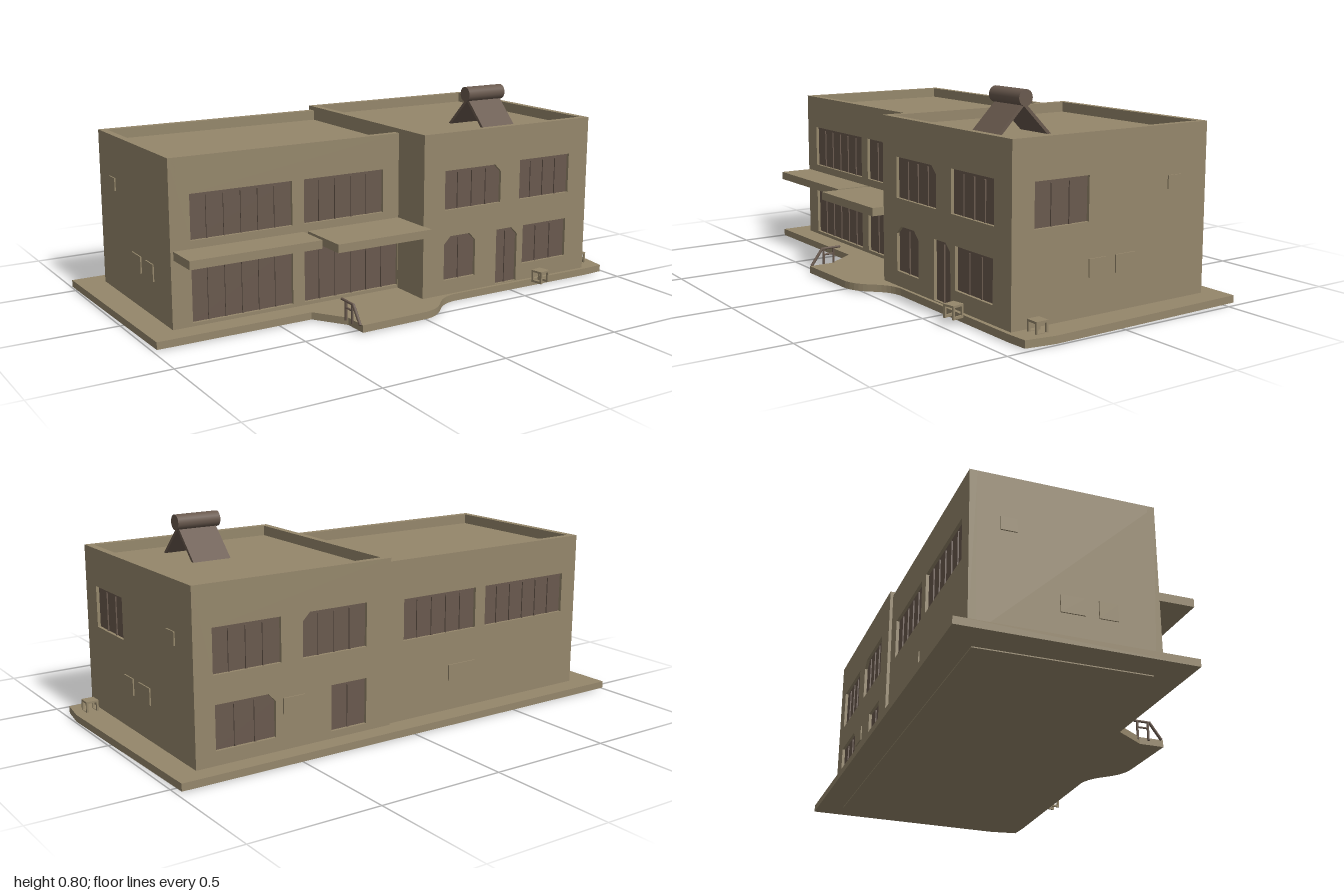
import * as THREE from 'three';

const plaster = new THREE.MeshStandardMaterial({ color: 0x95876b });
plaster.name = 'sand plaster';
const brown = new THREE.MeshStandardMaterial({ color: 0x69594e });
brown.name = 'dark brown';

const T = 0.028; // wall thickness, also the parapet width
const RECESS = 0.012; // window depth behind the wall face

function add(parent, name, geo, mat, x = 0, y = 0, z = 0) {
  const m = new THREE.Mesh(geo, mat);
  m.name = name;
  m.position.set(x, y, z);
  parent.add(m);
  return m;
}

// box given by its minimum and maximum corners
function span(parent, name, mat, x0, x1, y0, y1, z0, z1) {
  return add(parent, name, new THREE.BoxGeometry(x1 - x0, y1 - y0, z1 - z0), mat,
    (x0 + x1) / 2, (y0 + y1) / 2, (z0 + z1) / 2);
}

// round bar between two points
function bar(parent, name, mat, a, b, r) {
  const p = new THREE.Vector3(...a), q = new THREE.Vector3(...b);
  const m = add(parent, name, new THREE.CylinderGeometry(r, r, p.distanceTo(q), 8), mat);
  m.position.copy(p).add(q).multiplyScalar(0.5);
  m.quaternion.setFromUnitVectors(new THREE.Vector3(0, 1, 0), q.sub(p).normalize());
}

// rectangle with optional cut upper corners
function outline([x0, x1, y0, y1, cutL = 0, cutR = 0]) {
  const pts = [[x0, y0], [x1, y0], [x1, y1 - cutR]];
  if (cutR) pts.push([x1 - cutR, y1]);
  if (cutL) pts.push([x0 + cutL, y1]);
  pts.push([x0, y1 - cutL]);
  return pts.map(p => new THREE.Vector2(...p));
}

const extrude = (shape, depth) => new THREE.ExtrudeGeometry(shape, { depth, bevelEnabled: false });

// wall whose outer face lies at local z = 0, with recessed windows and thin vents
function wall(parent, name, u0, u1, top, windows, vents, rotY, x, z) {
  const g = new THREE.Group();
  g.name = name;
  g.rotation.y = rotY;
  g.position.set(x, 0, z);
  parent.add(g);
  const shape = new THREE.Shape(outline([u0, u1, 0.02, top]));
  for (const w of windows) shape.holes.push(new THREE.Path(outline(w)));
  add(g, name + 'Panel', extrude(shape, T), plaster, 0, 0, -T);
  for (const w of windows) {
    const [a, b, c, d] = w;
    add(g, 'windowPane', extrude(new THREE.Shape(outline(w)), T - RECESS), brown, 0, 0, -T);
    const n = Math.max(1, Math.round((b - a) / 0.07));
    for (let i = 1; i < n; i++) {
      const u = a + (b - a) * i / n;
      span(g, 'mullion', brown, u - 0.003, u + 0.003, c, d - 0.012, -RECESS - 0.002, -RECESS + 0.005);
    }
  }
  for (const [a, b, c, d] of vents) span(g, 'ventPlate', plaster, a, b, c, d, -0.004, 0.005);
}

// small open stand
function stand(parent, x, z, rotY) {
  const g = new THREE.Group();
  g.name = 'stand';
  g.position.set(x, 0.03, z);
  g.rotation.y = rotY;
  parent.add(g);
  const s = 0.025;
  span(g, 'standTop', plaster, -s, s, 0.037, 0.045, -s, s);
  for (const sx of [-1, 1]) {
    span(g, 'standFoot', plaster, sx * 0.021 - 0.004, sx * 0.021 + 0.004, -0.005, 0.004, -s, s);
    for (const sz of [-1, 1])
      add(g, 'standLeg', new THREE.BoxGeometry(0.008, 0.042, 0.008), plaster, sx * 0.021, 0.018, sz * 0.021);
  }
}

export function createModel() {
  const root = new THREE.Group();
  root.name = 'twoStoreyBuilding';

  // paved base with a curved entrance apron, drawn in x and -z
  const base = new THREE.Shape();
  base.moveTo(-0.998, 0.545);
  base.lineTo(-0.985, -0.315);
  base.lineTo(-0.37, -0.315);
  base.lineTo(-0.285, -0.44);
  base.lineTo(-0.285, -0.54);
  base.lineTo(0, -0.535);
  base.bezierCurveTo(0.11, -0.52, 0.1, -0.43, 0.21, -0.415);
  base.lineTo(0.9, -0.42);
  base.lineTo(0.98, -0.415);
  base.lineTo(0.998, -0.3);
  base.lineTo(0.98, 0.545);
  base.closePath();
  const slab = add(root, 'base', extrude(base, 0.028), plaster, 0, 0.004, 0);
  slab.rotation.x = -Math.PI / 2;
  span(root, 'basePlinth', plaster, -0.87, 0.87, 0, 0.01, -0.44, 0.2);

  // cores that carry the sunken roofs
  span(root, 'leftWingCore', plaster, -0.888 + T, 0.08, 0.02, 0.615, -0.46 + T, 0.23 - T);
  span(root, 'rightWingCore', plaster, 0.072 + T, 0.888 - T, 0.02, 0.632, -0.472 + T, 0.403 - T);

  // left wing
  wall(root, 'leftWingFront', -0.888, 0.085, 0.655, [
    [-0.81, -0.4, 0.35, 0.52], [-0.35, 0, 0.35, 0.52],
    [-0.81, -0.4, 0.045, 0.27], [-0.35, 0.07, 0.045, 0.265],
  ], [], 0, 0, 0.23);
  wall(root, 'leftWingBack', -0.085, 0.888, 0.655, [
    [0, 0.35, 0.345, 0.505], [0.4, 0.815, 0.345, 0.505],
  ], [[0.22, 0.35, 0.15, 0.215]], Math.PI, 0, -0.46);
  wall(root, 'leftWingSide', -0.46, 0.23, 0.655, [], [
    [-0.35, -0.29, 0.44, 0.49], [-0.14, -0.05, 0.17, 0.235], [0, 0.07, 0.17, 0.235],
  ], -Math.PI / 2, -0.888, 0);

  // right wing
  wall(root, 'rightWingFront', 0.072, 0.888, 0.672, [
    [0.17, 0.44, 0.37, 0.525, 0, 0.03], [0.535, 0.79, 0.37, 0.53],
    [0.17, 0.32, 0.09, 0.265, 0.03, 0.03], [0.425, 0.53, 0.035, 0.26, 0, 0.03],
    [0.56, 0.785, 0.1, 0.26],
  ], [], 0, 0, 0.403);
  wall(root, 'rightWingBack', -0.888, -0.072, 0.672, [
    [-0.815, -0.545, 0.355, 0.52], [-0.455, -0.18, 0.355, 0.52, 0.03, 0],
    [-0.81, -0.57, 0.085, 0.25, 0, 0.03], [-0.335, -0.18, 0.06, 0.235],
  ], [[-0.54, -0.45, 0.165, 0.225]], Math.PI, 0, -0.472);
  wall(root, 'rightWingOuterSide', -0.403, 0.472, 0.672, [
    [-0.31, -0.077, 0.365, 0.525],
  ], [
    [-0.075, 0, 0.17, 0.235], [0.045, 0.138, 0.17, 0.235], [0.285, 0.345, 0.44, 0.49],
  ], Math.PI / 2, 0.888, 0);
  wall(root, 'rightWingInnerSide', -0.472, 0.403, 0.672, [], [], -Math.PI / 2, 0.072, 0);

  // canopies over the ground floor
  span(root, 'longCanopy', plaster, -0.877, -0.353, 0.288, 0.32, 0.22, 0.37);
  span(root, 'entranceCanopy', plaster, -0.335, 0.075, 0.288, 0.32, 0.22, 0.453);

  // roof unit: two leaning panels capped by a cylinder
  const unit = new THREE.Group();
  unit.name = 'roofUnit';
  unit.position.set(0.537, 0.762, 0.15);
  root.add(unit);
  for (const s of [-1, 1]) {
    const panel = add(unit, 'roofUnitPanel', new THREE.BoxGeometry(0.158, 0.175, 0.012), brown,
      0, -0.074, s * 0.058);
    panel.rotation.x = -s * Math.PI / 4;
  }
  const cap = add(unit, 'roofUnitCap', new THREE.CylinderGeometry(0.03, 0.03, 0.18, 24), brown, 0, 0.006, 0);
  cap.rotation.z = Math.PI / 2;

  // entrance railing
  const rx = -0.29;
  bar(root, 'railingSlope', brown, [rx, 0.03, 0.53], [rx, 0.097, 0.48], 0.006);
  bar(root, 'railingTop', brown, [rx, 0.095, 0.485], [rx, 0.095, 0.4], 0.005);
  for (const z of [0.475, 0.43]) bar(root, 'railingPost', brown, [rx, 0.02, z], [rx, 0.095, z], 0.005);
  bar(root, 'railingRung', brown, [rx, 0.07, 0.475], [rx, 0.07, 0.43], 0.004);

  // stands beside the front
  stand(root, 0.62, 0.45, 0.2);
  stand(root, 0.93, 0.325, 0);
  return root;
}
